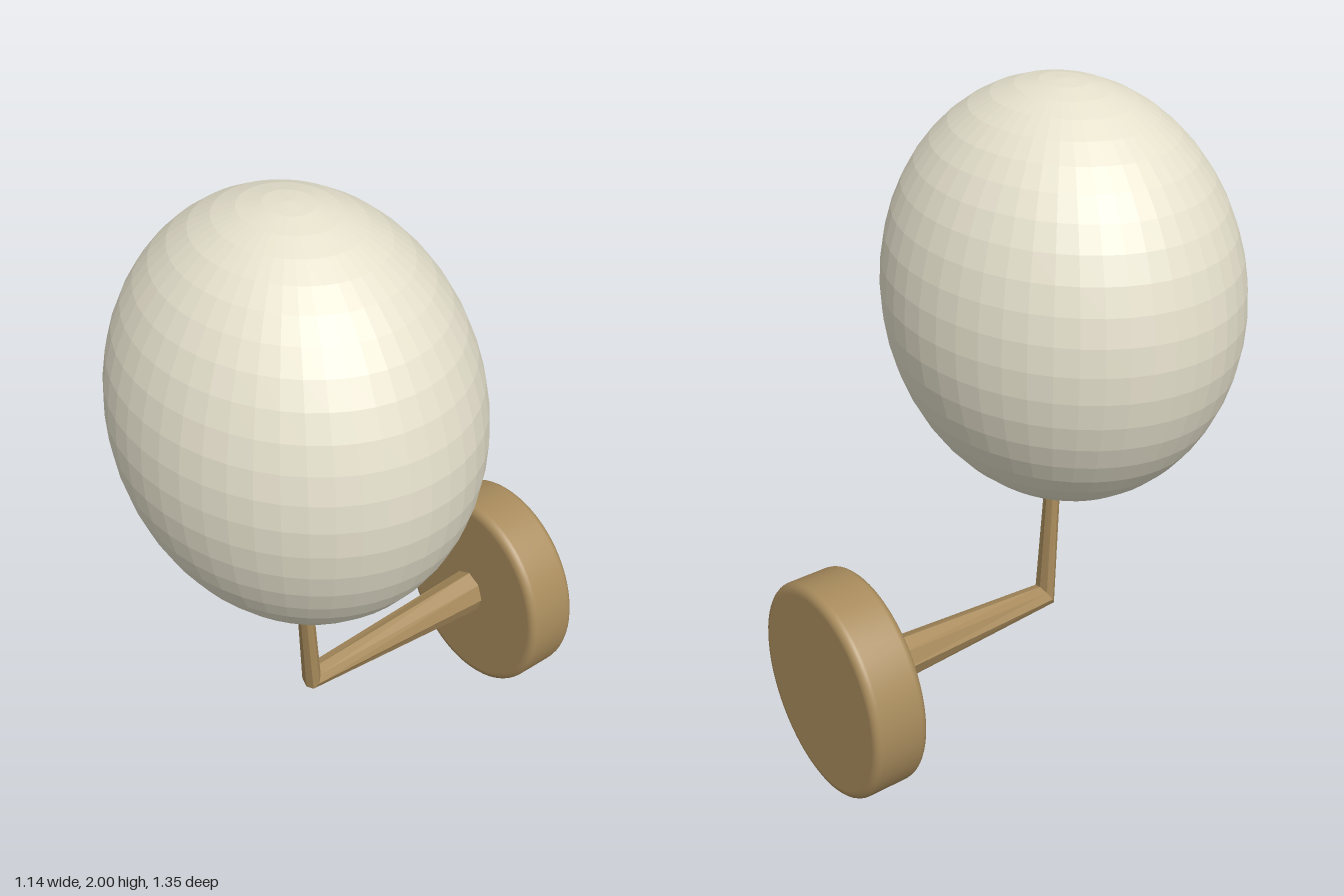
import * as THREE from 'three';

const brass = new THREE.MeshStandardMaterial({ color: 0xa98c5d });
const brassFaceted = new THREE.MeshStandardMaterial({ color: 0xa98c5d, flatShading: true });
const glass = new THREE.MeshStandardMaterial({ color: 0xe6e1cd, flatShading: true });

function addMesh(group, name, geometry, material) {
  const mesh = new THREE.Mesh(geometry, material);
  mesh.name = name;
  group.add(mesh);
  return mesh;
}

// Disc with rounded rims, turned about y and centred on the origin
function roundedDisc(radius, depth, bevel) {
  const h = depth / 2;
  const steps = 5;
  const points = [new THREE.Vector2(0, -h), new THREE.Vector2(radius - bevel - 0.004, -h)];
  for (const side of [-1, 1]) {
    for (let i = 0; i <= steps; i++) {
      const a = side * (Math.PI / 2) * (side < 0 ? 1 - i / steps : i / steps);
      points.push(new THREE.Vector2(
        radius - bevel + bevel * Math.cos(a),
        side * (h - bevel) + bevel * Math.sin(a)));
    }
  }
  points.push(new THREE.Vector2(radius - bevel - 0.004, h), new THREE.Vector2(0, h));
  return new THREE.LatheGeometry(points, 64);
}

// Tapered octagonal tube through rings given by centre (y, z), half width and half height vector
function octagonTube(rings) {
  const sides = 8;
  const positions = [];
  const index = [];
  rings.forEach(({ y, z, halfX, up }, i) => {
    for (let j = 0; j < sides; j++) {
      const a = (j / sides) * Math.PI * 2;
      const s = Math.sin(a);
      positions.push(halfX * Math.cos(a), y + up[0] * s, z + up[1] * s);
      if (i < rings.length - 1) {
        const k = (j + 1) % sides;
        const p = i * sides;
        const q = p + sides;
        index.push(p + j, p + k, q + j, p + k, q + k, q + j);
      }
    }
  });
  const geometry = new THREE.BufferGeometry();
  geometry.setAttribute('position', new THREE.Float32BufferAttribute(positions, 3));
  geometry.setIndex(index);
  geometry.computeVertexNormals();
  return geometry;
}

export function createModel() {
  const model = new THREE.Group();
  model.name = 'wallLamp';

  // Oval wall plate
  const plate = addMesh(model, 'wallPlate', roundedDisc(0.31, 0.174, 0.025), brass);
  plate.rotation.x = Math.PI / 2;
  plate.scale.z = 0.341 / 0.31;
  plate.position.set(0, 0.344, -0.587);

  // Arm from the plate, mitred at the elbow, rising into the globe
  addMesh(model, 'bentArm', octagonTube([
    { y: 0.345, z: -0.52, halfX: 0.066, up: [0.076, 0] },
    { y: 0.347, z: 0.15, halfX: 0.041, up: [0.033, -0.02] },
    { y: 0.80, z: 0.177, halfX: 0.027, up: [0, -0.02] },
  ]), brassFaceted);

  // Egg-shaped globe
  const globe = addMesh(model, 'globe', new THREE.SphereGeometry(1, 48, 24), glass);
  globe.scale.set(0.572, 0.62, 0.485);
  globe.position.set(0, 1.38, 0.19);

  return model;
}
